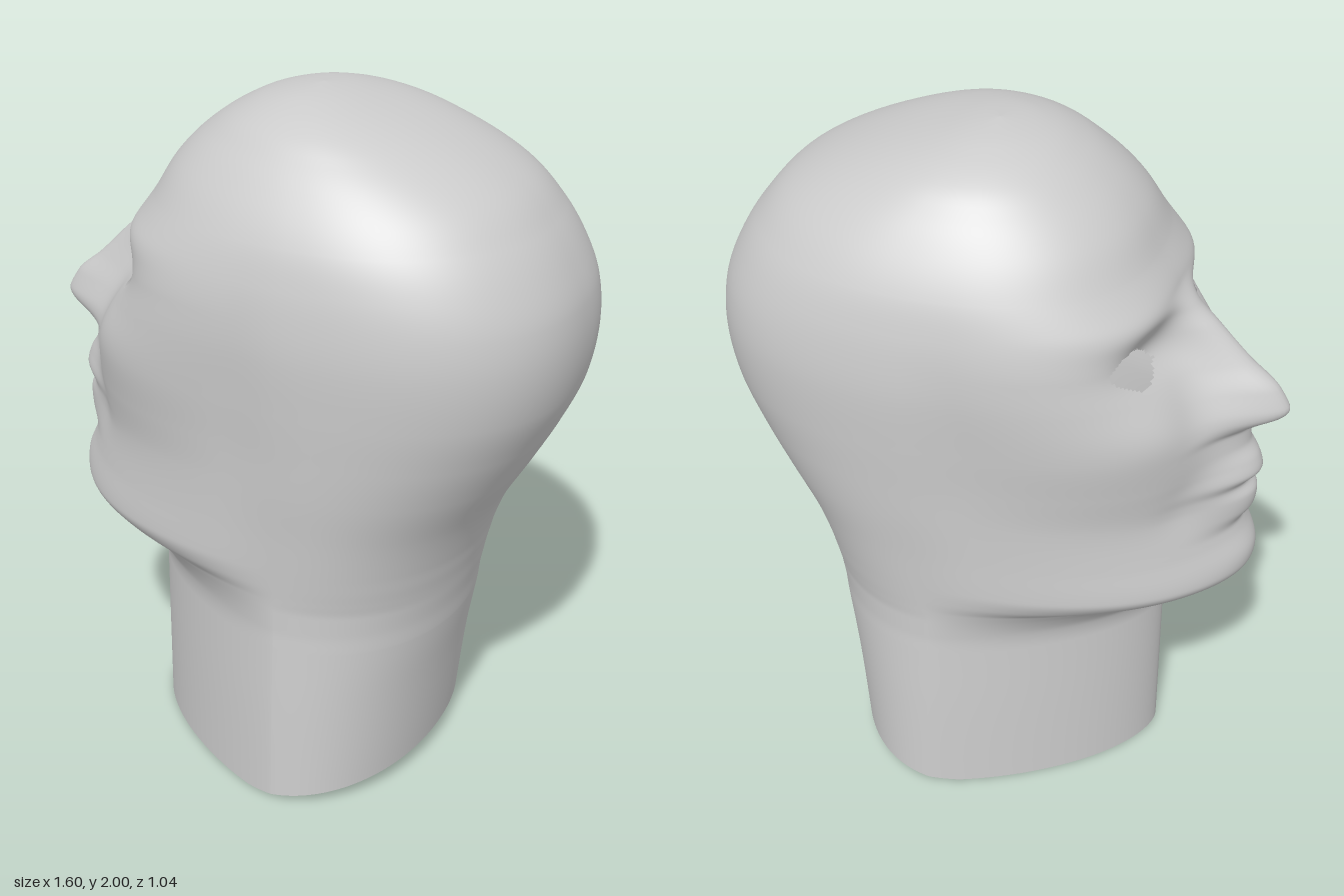
import * as THREE from 'three';

// Horizontal sections: height, front x, back x, half width, front roundness, x of widest point
const SECTIONS = [
  [0.00, -0.48, 0.42, 0.49, 1.25, 0.09],
  [0.30, -0.48, 0.455, 0.478, 1.25, 0.09],
  [0.50, -0.48, 0.487, 0.467, 1.26, 0.09],
  [0.56, -0.495, 0.495, 0.464, 1.3, 0.09],
  [0.62, -0.565, 0.507, 0.464, 1.4, 0.09],
  [0.66, -0.625, 0.515, 0.466, 1.6, 0.10],
  [0.70, -0.675, 0.525, 0.469, 1.9, 0.11],
  [0.75, -0.70, 0.538, 0.473, 2.1, 0.12],
  [0.86, -0.67, 0.58, 0.482, 2.1, 0.14],
  [1.00, -0.635, 0.66, 0.496, 2.15, 0.16],
  [1.12, -0.63, 0.725, 0.505, 2.35, 0.17],
  [1.25, -0.605, 0.78, 0.514, 2.6, 0.17],
  [1.40, -0.53, 0.80, 0.52, 2.7, 0.17],
  [1.50, -0.49, 0.79, 0.514, 2.7, 0.17],
  [1.60, -0.478, 0.753, 0.497, 2.5, 0.17],
  [1.70, -0.42, 0.692, 0.465, 2.35, 0.16],
  [1.80, -0.36, 0.60, 0.407, 2.25, 0.14],
  [1.88, -0.28, 0.46, 0.34, 2.15, 0.11],
  [1.94, -0.19, 0.305, 0.265, 2.1, 0.08],
  [1.975, -0.11, 0.175, 0.175, 2, 0.05],
  [1.993, -0.03, 0.09, 0.085, 2, 0.03],
  [2.00, 0.03, 0.03, 0, 2, 0.03],
];

// Nose, lips and chin along the midline: height, forward bulge, sideways spread
const FEATURES = [
  [0.00, 0, 0.2], [0.60, 0, 0.2], [0.68, 0.03, 0.17], [0.74, 0.036, 0.16], [0.80, 0.045, 0.15],
  [0.88, 0.036, 0.15], [0.935, 0.078, 0.14], [0.985, 0.093, 0.14], [1.02, 0.077, 0.15],
  [1.06, 0.108, 0.14], [1.10, 0.098, 0.12], [1.15, 0.075, 0.11], [1.195, 0.08, 0.105],
  [1.225, 0.13, 0.11], [1.25, 0.185, 0.105], [1.28, 0.206, 0.10], [1.33, 0.203, 0.09],
  [1.40, 0.16, 0.08], [1.50, 0.10, 0.075], [1.55, 0.045, 0.075], [1.61, 0, 0.1], [2.00, 0, 0.1],
];

// Smooth interpolation of a table by its first column
function sample(table, y) {
  let i = 0;
  while (i < table.length - 2 && y > table[i + 1][0]) i++;
  const a = table[i], b = table[i + 1], h = b[0] - a[0];
  const t = (y - a[0]) / h, t2 = t * t, t3 = t2 * t;
  return a.map((v, k) => {
    const step = j => (table[j + 1][k] - table[j][k]) / (table[j + 1][0] - table[j][0]);
    const slope = j => {
      if (j === 0) return step(0);
      if (j === table.length - 1) return step(j - 1);
      const p = step(j - 1), q = step(j);
      const limit = 2 * Math.min(Math.abs(p), Math.abs(q));
      return p * q <= 0 ? 0 : Math.sign(p) * Math.min(Math.abs(p + q) / 2, limit);
    };
    return v * (2 * t3 - 3 * t2 + 1) + b[k] * (3 * t2 - 2 * t3)
      + h * (slope(i) * (t3 - 2 * t2 + t) + slope(i + 1) * (t3 - t2));
  });
}

const bump = (z, y, z0, y0, sz, sy) => Math.exp(-(((z - z0) / sz) ** 2) - ((y - y0) / sy) ** 2);

// Point on the skin; u runs 0..1 from the nose line around one side to the nape
function skinPoint(y, u, side) {
  const [, front, back, width, round, mid] = sample(SECTIONS, y);
  const [, bulge, spread] = sample(FEATURES, y);
  let x, z;
  if (u < 0.6) {
    // the throat meets the back of the neck in a corner
    const sideRound = round + 1.2 * Math.max(0, 1.6 - round);
    const a = (u / 0.6) ** 1.3 * Math.PI / 2;
    const reach = Math.max(Math.cos(a), 0) ** (2 / round);
    x = mid + (front - mid) * reach;
    z = width * Math.sin(a) ** (2 / sideRound);
    // temples and cheeks sit slightly inside the skull
    z *= 1 - 0.05 * THREE.MathUtils.smoothstep(reach, 0, 0.3) * bump(0, y, 0, 1.2, 1, 0.35);
    x -= bulge * Math.exp(-((z / spread) ** 2));
    x += 0.045 * bump(z, y, 0.20, 1.48, 0.11, 0.07);  // eye socket
    x -= 0.012 * bump(z, y, 0.25, 1.59, 0.16, 0.04);  // brow
    x -= 0.012 * bump(z, y, 0.30, 1.30, 0.10, 0.08);  // cheekbone
    x += 0.012 * bump(z, y, 0.21, 1.02, 0.06, 0.08);  // mouth corner
  } else {
    // the skull is fuller at the back than the neck
    const a = (u - 0.6) / 0.4 * Math.PI / 2;
    const power = 2 / (2.1 + 0.28 * bump(0, y, 0, 1.4, 1, 0.4));
    x = mid + (back - mid) * Math.sin(a) ** power;
    z = width * Math.max(Math.cos(a), 0) ** power;
  }
  // the neck's cut edge rises towards the nape
  const lift = 0.14 * Math.max(0, x) * Math.max(0, 1 - y / 0.5);
  return [x, y + lift, z * side];
}

// Almond-shaped eye opening
function inEye([x, y, z]) {
  const d = (Math.abs(z) - 0.25) / 0.09;
  return x < -0.25 && Math.abs(d) < 1 && Math.abs(y - 1.475 - 0.012 * d) < 0.055 * (1 - d * d);
}

export function createModel() {
  const group = new THREE.Group();
  group.name = 'mannequinHead';

  // Heights: plain neck, fine face, rows closing up at the crown
  const heights = [];
  for (let i = 0; i < 12; i++) heights.push(0.5 * i / 12);
  for (let i = 0; i < 180; i++) heights.push(0.5 + 1.2 * i / 180);
  for (let i = 0; i <= 30; i++) heights.push(1.7 + 0.3 * Math.sin(i / 30 * Math.PI / 2));

  const half = 110, ring = half * 2;
  const points = [];
  for (const y of heights) {
    for (let j = 0; j < ring; j++) {
      const side = j <= half ? 1 : -1;
      points.push(skinPoint(y, (j <= half ? j : ring - j) / half, side));
    }
  }

  const index = [];
  for (let i = 0; i < heights.length - 1; i++) {
    for (let j = 0; j < ring; j++) {
      const a = i * ring + j, b = i * ring + (j + 1) % ring, c = a + ring, d = b + ring;
      const centre = [0, 1, 2].map(k => (points[a][k] + points[b][k] + points[c][k] + points[d][k]) / 4);
      if (inEye(centre)) continue;
      index.push(a, b, c);
      if (i < heights.length - 2) index.push(b, d, c);
    }
  }

  const geometry = new THREE.BufferGeometry();
  geometry.setAttribute('position', new THREE.Float32BufferAttribute(points.flat(), 3));
  geometry.setIndex(index);
  geometry.computeVertexNormals();

  // Open shell: head and neck in one skin
  const head = new THREE.Mesh(geometry,
    new THREE.MeshStandardMaterial({ color: 0xcccccc, side: THREE.DoubleSide }));
  head.name = 'headAndNeck';
  group.add(head);
  return group;
}
